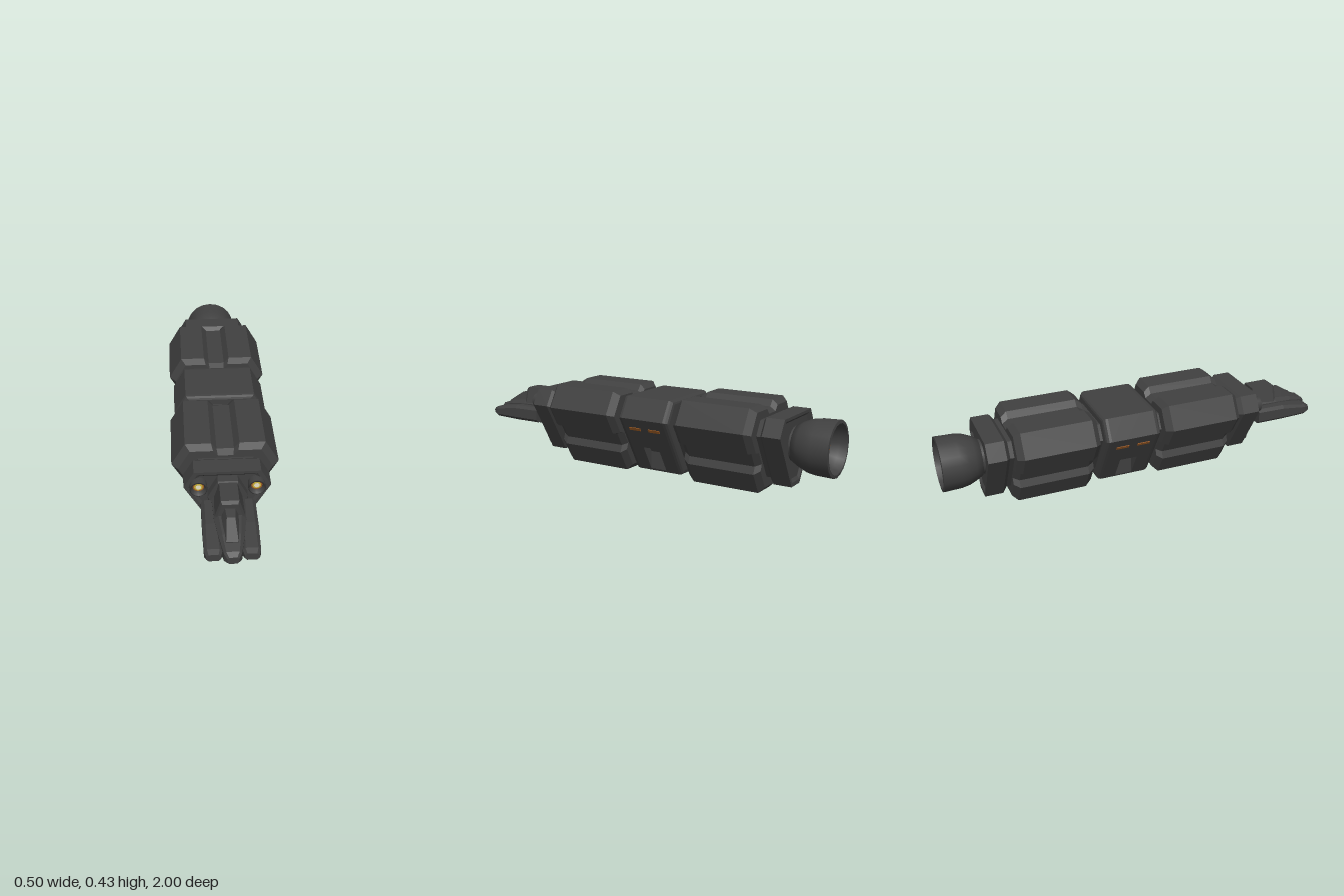
import * as THREE from 'three';

const CY = 0.25; // height of the long axis
const mat = (name, color, side = THREE.FrontSide) => {
  const m = new THREE.MeshStandardMaterial({ color, side });
  m.name = name;
  return m;
};

// Truncated triangle pointing down: a = face distance, d = corner distance.
// With a groove, each face gets a bevelled channel down its middle.
function tri(a, d, groove) {
  const w = (a - d / 2) / 0.866;
  let half = [[w, -d]];
  if (groove) {
    const onFace = (dist, t) => [0.866 * dist - 0.5 * t, -0.5 * dist - 0.866 * t];
    half = [[w, -d], onFace(a, 0.065), onFace(groove, 0.04)];
  }
  const corner = [...half.map(([x, y]) => [-x, y]).reverse(), ...half];
  const pts = [];
  for (let k = 0; k < 3; k++) {
    const c = Math.cos(k * Math.PI * 2 / 3), s = Math.sin(k * Math.PI * 2 / 3);
    corner.forEach(([x, y]) => pts.push([x * c - y * s, x * s + y * c + CY]));
  }
  return pts;
}
const scaled = (pts, s) => pts.map(([x, y]) => [x * s, CY + (y - CY) * s]);

// Faceted solid through counter-clockwise sections [z, points], capped at both ends
function loft(sections) {
  const pos = [], flip = sections[sections.length - 1][0] < sections[0][0];
  const tri3 = (a, b, c) => (flip ? [a, c, b] : [a, b, c]).forEach(p => pos.push(...p));
  const rings = sections.map(([z, pts]) => pts.map(([x, y]) => [x, y, z]));
  const n = rings[0].length;
  for (let r = 0; r < rings.length - 1; r++) {
    for (let i = 0; i < n; i++) {
      const j = (i + 1) % n, A = rings[r], B = rings[r + 1];
      tri3(A[i], A[j], B[j]);
      tri3(A[i], B[j], B[i]);
    }
  }
  const cap = (ring, front) => {
    const mid = [0, 1, 2].map(k => ring.reduce((s, p) => s + p[k], 0) / n);
    ring.forEach((p, i) => {
      const q = ring[(i + 1) % n];
      front ? tri3(mid, p, q) : tri3(mid, q, p);
    });
  };
  cap(rings[0], false);
  cap(rings[rings.length - 1], true);
  const g = new THREE.BufferGeometry();
  g.setAttribute('position', new THREE.Float32BufferAttribute(pos, 3));
  g.computeVertexNormals();
  return g;
}
const prism = (pts, steps) => loft(steps.map(([z, s]) => [z, scaled(pts, s)]));

// Trapezoid and eight-sided cross-sections
const trap = (wb, wt, y0, y1) => [[-wb, y0], [wb, y0], [wt, y1], [-wt, y1]];
const octo = (x0, x1, y0, y1, c) => [[x0 + c, y0], [x1 - c, y0], [x1, y0 + c], [x1, y1 - c],
  [x1 - c, y1], [x0 + c, y1], [x0, y1 - c], [x0, y0 + c]];

export function createModel() {
  const root = new THREE.Group();
  const hull = mat('charcoalHull', 0x404040);
  const bellMat = mat('charcoalBell', 0x404040, THREE.DoubleSide);
  const orange = mat('glowOrange', 0x9a5a24);
  const yellow = mat('glowYellow', 0xc8b23a);
  const white = mat('glowWhite', 0xece6cc);
  const add = (name, geo, material = hull, parent = root) => {
    const m = new THREE.Mesh(geo, material);
    m.name = name;
    parent.add(m);
    return m;
  };

  // Spine joining all modules
  add('spine', prism(tri(0.12, 0.17), [[-0.75, 1], [0.55, 1]]));

  // Two cargo modules with grooved faces and chamfered ends
  [0.08, -0.67].forEach((z, i) => add(i ? 'rearModule' : 'frontModule',
    prism(tri(0.18, 0.25, 0.15), [[z, 0.88], [z + 0.03, 1], [z + 0.38, 1], [z + 0.41, 0.88]])));

  // End plates with a recessed outer panel
  const plate = tri(0.14, 0.2);
  add('frontEndPlate', prism(plate, [[0.5, 0.85], [0.53, 1], [0.62, 1], [0.62, 0.9], [0.61, 0.82]]));
  add('rearEndPlate', prism(plate, [[-0.69, 0.85], [-0.71, 1], [-0.8, 1], [-0.8, 0.9], [-0.79, 0.82]]));

  // Rounded middle module, its centre slice notched by a doorway on each side
  const mid = tri(0.165, 0.23);
  const round = [0, 30, 60, 90].map(deg => {
    const t = deg * Math.PI / 180;
    return [0.025 * (1 - Math.sin(t)), 1 - 0.11 * (1 - Math.cos(t))];
  });
  add('middleFront', prism(mid, [[-0.04, 1], ...round.map(([o, s]) => [0.055 - o, s]).reverse().sort((p, q) => p[0] - q[0])]));
  add('middleRear', prism(mid, [[-0.13, 1], ...round.map(([o, s]) => [-0.23 + o, s]).sort((p, q) => q[0] - p[0])]));
  const faceX = y => (0.165 + 0.5 * (y - CY)) / 0.866;
  const door = [[faceX(0.03), 0.03], [faceX(0.03), 0.155], [faceX(0.155), 0.155]];
  const slice = [mid[0], mid[1], ...door, ...mid.slice(2),
    ...door.map(([x, y]) => [-x, y]).reverse()];
  const shape = new THREE.Shape(slice.map(([x, y]) => new THREE.Vector2(x, y)));
  add('middleDoorway', new THREE.ExtrudeGeometry(shape, { depth: 0.09, bevelEnabled: false }).translate(0, 0, -0.13));

  // Lit windows above each doorway
  [1, -1].forEach(side => {
    const g = new THREE.Group();
    g.name = side > 0 ? 'leftWindows' : 'rightWindows';
    g.position.y = CY;
    g.rotation.z = -side * Math.PI / 6;
    root.add(g);
    [-0.03, -0.14].forEach(z => add('window',
      new THREE.BoxGeometry(0.006, 0.017, 0.065).translate(side * 0.165, 0.107, z), orange, g));
  });

  // Main engine bell with a stepped glow inside
  const lathe = (profile, seg) => new THREE.LatheGeometry(
    profile.map(([r, h]) => new THREE.Vector2(r, h)), seg).rotateX(Math.PI / 2);
  add('engineCollar', new THREE.CylinderGeometry(0.085, 0.085, 0.06, 20).rotateX(Math.PI / 2).translate(0, CY, -0.8));
  const bell = lathe([[0.06, -0.8], [0.092, -0.802], [0.11, -0.835], [0.125, -0.87], [0.132, -0.91],
    [0.135, -0.998]], 20);
  add('engineBell', bell.translate(0, CY, 0), bellMat);
  add('engineLip', lathe([[0.135, -0.998], [0.12, -1]], 20).translate(0, CY, 0), bellMat);
  add('engineInnerWall', lathe([[0.12, -1], [0.112, -0.96], [0.088, -0.925]], 20).translate(0, CY, 0), bellMat);
  [[orange, 0.09, -0.927], [yellow, 0.054, -0.931], [white, 0.037, -0.935]].forEach(([m, r, z]) =>
    add('engineGlow', new THREE.CircleGeometry(r, 20).rotateY(Math.PI).translate(0, CY, z), m));

  // Three small forward thrusters
  [[0.13, 0.32], [-0.13, 0.32], [0, 0.095]].forEach(([x, y]) => {
    const g = new THREE.Group();
    g.name = 'forwardThruster';
    g.position.set(x, y, 0);
    root.add(g);
    add('thrusterCup', lathe([[0.038, 0.6], [0.04, 0.65], [0.034, 0.652], [0.025, 0.63]], 16), bellMat, g);
    [[orange, 0.028, 0.631], [yellow, 0.019, 0.633], [white, 0.012, 0.635]].forEach(([m, r, z]) =>
      add('thrusterGlow', new THREE.CircleGeometry(r, 16).translate(0, 0, z), m, g));
  });

  // Docking collar that holds the shuttle
  const collar = [[-0.06, 0.16], [0.06, 0.16], [0.085, 0.19], [0.09, 0.275], [0.045, 0.362],
    [-0.045, 0.362], [-0.09, 0.275], [-0.085, 0.19]];
  add('dockingCollar', loft([[0.6, collar], [0.65, collar], [0.67, scaled(collar, 0.9)]]));

  // Shuttle: wedge hull, rear cabin, cockpit and side nacelles
  const shuttle = new THREE.Group();
  shuttle.name = 'shuttle';
  root.add(shuttle);
  add('shuttleHull', loft([
    [0.65, octo(-0.075, 0.075, 0.175, 0.3, 0.02)], [0.8, octo(-0.07, 0.07, 0.178, 0.295, 0.02)],
    [0.9, octo(-0.055, 0.055, 0.185, 0.28, 0.015)], [0.98, octo(-0.038, 0.038, 0.195, 0.255, 0.01)],
    [1.0, octo(-0.025, 0.025, 0.205, 0.24, 0.008)]]), hull, shuttle);
  add('cabin', loft([[0.665, trap(0.068, 0.04, 0.275, 0.365)], [0.785, trap(0.068, 0.04, 0.275, 0.365)],
    [0.8, trap(0.06, 0.034, 0.275, 0.355)]]), hull, shuttle);
  add('cockpit', loft([[0.78, trap(0.05, 0.024, 0.265, 0.337)], [0.85, trap(0.045, 0.018, 0.265, 0.328)],
    [0.94, trap(0.034, 0.026, 0.25, 0.272)]]), hull, shuttle);
  [1, -1].forEach(side => {
    const sec = (x0, x1, y0, y1, c) => side > 0 ? octo(x0, x1, y0, y1, c) : octo(-x1, -x0, y0, y1, c);
    add(side > 0 ? 'leftNacelle' : 'rightNacelle', loft([
      [0.668, sec(0.05, 0.122, 0.19, 0.272, 0.015)], [0.82, sec(0.046, 0.122, 0.19, 0.27, 0.015)],
      [0.955, sec(0.042, 0.12, 0.195, 0.25, 0.012)], [0.98, sec(0.05, 0.112, 0.205, 0.24, 0.01)]]), hull, shuttle);
  });

  return root;
}
